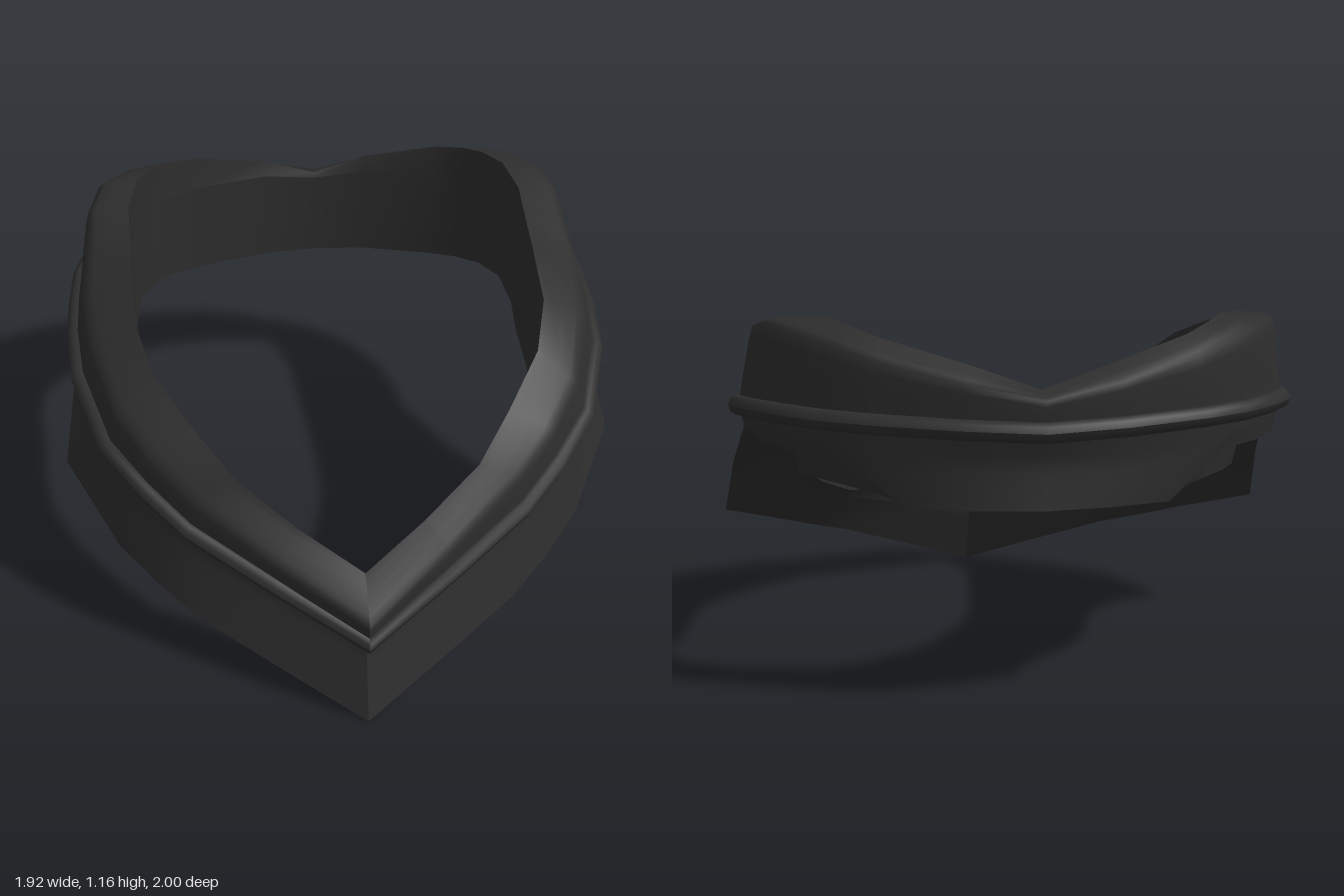
import * as THREE from 'three';

// Rails of the left half, from the front point round to the middle of the back.
const hem = [[0, 0, .995], [.27, .11, .84], [.52, .21, .69], [.66, .265, .56], [.78, .32, .43], [.96, .43, .1], [.92, .63, -.07],
  [.88, .76, -.25], [.86, .79, -.4], [.81, .78, -.55], [.73, .77, -.67], [.58, .76, -.78], [.39, .62, -.87], [.2, .62, -.93], [0, .62, -.96]];
const waist = [[0, .25, .915], [.26, .37, .77], [.5, .46, .63], [.64, .53, .52], [.76, .6, .39], [.87, .68, .1], [.875, .75, -.08],
  [.87, .79, -.25], [.87, .82, -.4], [.82, .82, -.55], [.74, .82, -.67], [.62, .81, -.77], [.48, .76, -.85], [.23, .75, -.92], [0, .75, -.94]];
const cordLine = [[0, .34, .967], [.27, .46, .81], [.53, .57, .65], [.66, .65, .535], [.78, .72, .39], [.87, .8, .12], [.89, .83, -.08],
  [.89, .85, -.25], [.88, .87, -.4], [.835, .88, -.55], [.75, .88, -.67], [.64, .875, -.77], [.5, .87, -.85], [.24, .86, -.94], [0, .85, -.97]];
const shoulder = [[0, .43, .98], [.27, .56, .81], [.52, .7, .64], [.64, .78, .52], [.74, .86, .38], [.82, .95, .12], [.845, .99, -.08],
  [.84, 1.04, -.25], [.83, 1.12, -.42], [.795, 1.14, -.56], [.71, 1.12, -.69], [.6, 1.09, -.78], [.48, 1.05, -.86], [.23, .99, -.95], [0, .94, -.975]];
const rim = [[0, .53, .85], [.2, .64, .745], [.38, .77, .65], [.5, .85, .49], [.62, .95, .32], [.67, 1.03, .15], [.68, 1.08, -.09],
  [.685, 1.11, -.25], [.69, 1.14, -.4], [.66, 1.16, -.55], [.6, 1.16, -.64], [.54, 1.14, -.715], [.455, 1.11, -.79], [.2, 1.035, -.885], [0, .965, -.9]];
const seam = [[0, .42, .855], [.205, .54, .75], [.39, .66, .645], [.51, .73, .49], [.62, .8, .32], [.68, .9, .13], [.69, .94, -.09],
  [.69, .96, -.25], [.7, .98, -.4], [.67, 1, -.55], [.61, 1, -.64], [.54, 1, -.71], [.45, .99, -.78], [.19, .975, -.87], [0, .95, -.885]];
const liningHem = [[0, .27, .86], [.21, .34, .75], [.4, .38, .64], [.51, .41, .49], [.62, .48, .32], [.68, .57, .12], [.69, .605, -.06],
  [.69, .625, -.25], [.7, .65, -.4], [.68, .67, -.55], [.62, .67, -.65], [.54, .66, -.72], [.44, .64, -.79], [.19, .63, -.87], [0, .63, -.885]];
const tuck = [[0, .2, .89], [.22, .28, .775], [.42, .34, .65], [.54, .38, .51], [.66, .46, .35], [.74, .6, .11], [.72, .7, -.08],
  [.71, .76, -.25], [.72, .78, -.4], [.7, .77, -.56], [.64, .76, -.66], [.55, .74, -.73], [.43, .64, -.81], [.19, .63, -.89], [0, .63, -.905]];

// Mirror a half rail into a full round that starts and ends at the front point.
function round(half) {
  const left = half.map(p => new THREE.Vector3(...p));
  const right = left.slice(0, -1).reverse().map(p => new THREE.Vector3(-p.x, p.y, p.z));
  return [...left, ...right];
}

// Skin a list of cross-sections, each a list of points.
function skin(sections) {
  const n = sections[0].length, index = [];
  for (let i = 0; i < sections.length - 1; i++) {
    for (let j = 0; j < n - 1; j++) {
      const a = i * n + j, b = a + n;
      index.push(a, b, b + 1, a, b + 1, a + 1);
    }
  }
  const geometry = new THREE.BufferGeometry().setFromPoints(sections.flat());
  geometry.setIndex(index);
  geometry.computeVertexNormals();
  return geometry;
}

// Panel running across several rails, gently curved when steps are given.
function panel(rails, steps = 0) {
  const rounds = rails.map(round);
  return skin(rounds[0].map((_, i) => {
    const points = rounds.map(r => r[i]);
    return steps ? new THREE.CatmullRomCurve3(points, false, 'catmullrom', .25).getPoints(steps) : points;
  }));
}

// Round cord following a rail, mitred at the front point.
function cord(rail, radius, sides) {
  const path = round(rail), last = path.length - 1;
  return skin(path.map((p, i) => {
    const ahead = path[i === last ? 1 : i + 1], behind = path[i === 0 ? last - 1 : i - 1];
    const out = new THREE.Vector3(behind.z - ahead.z, 0, ahead.x - behind.x).normalize();
    return Array.from({ length: sides + 1 }, (_, k) => {
      const t = k / sides * Math.PI * 2;
      return p.clone().addScaledVector(out, Math.cos(t) * radius)
        .add(new THREE.Vector3(0, Math.sin(t) * radius, 0));
    });
  }));
}

export function createModel() {
  const group = new THREE.Group();
  group.name = 'collar';
  const cloth = new THREE.MeshStandardMaterial({ color: 0x2d2d2d });
  cloth.name = 'charcoal cloth';
  const add = (name, geometry) => {
    const mesh = new THREE.Mesh(geometry, cloth);
    mesh.name = name;
    group.add(mesh);
  };

  // Outer side, from the flared skirt up to the rolled rim
  add('skirt', panel([hem, waist, cordLine], 8));
  add('pipingCord', cord(cordLine, .032, 10));
  add('rolledCollar', panel([cordLine, shoulder, rim], 8));

  // Inner side, hanging straight down from the rim
  add('rimFacing', panel([rim, seam]));
  add('innerLining', panel([seam, liningHem]));

  // Back of the lining and the underside of the skirt
  add('liningBack', panel([liningHem, tuck]));
  add('skirtUnderside', panel([tuck, hem]));
  return group;
}
